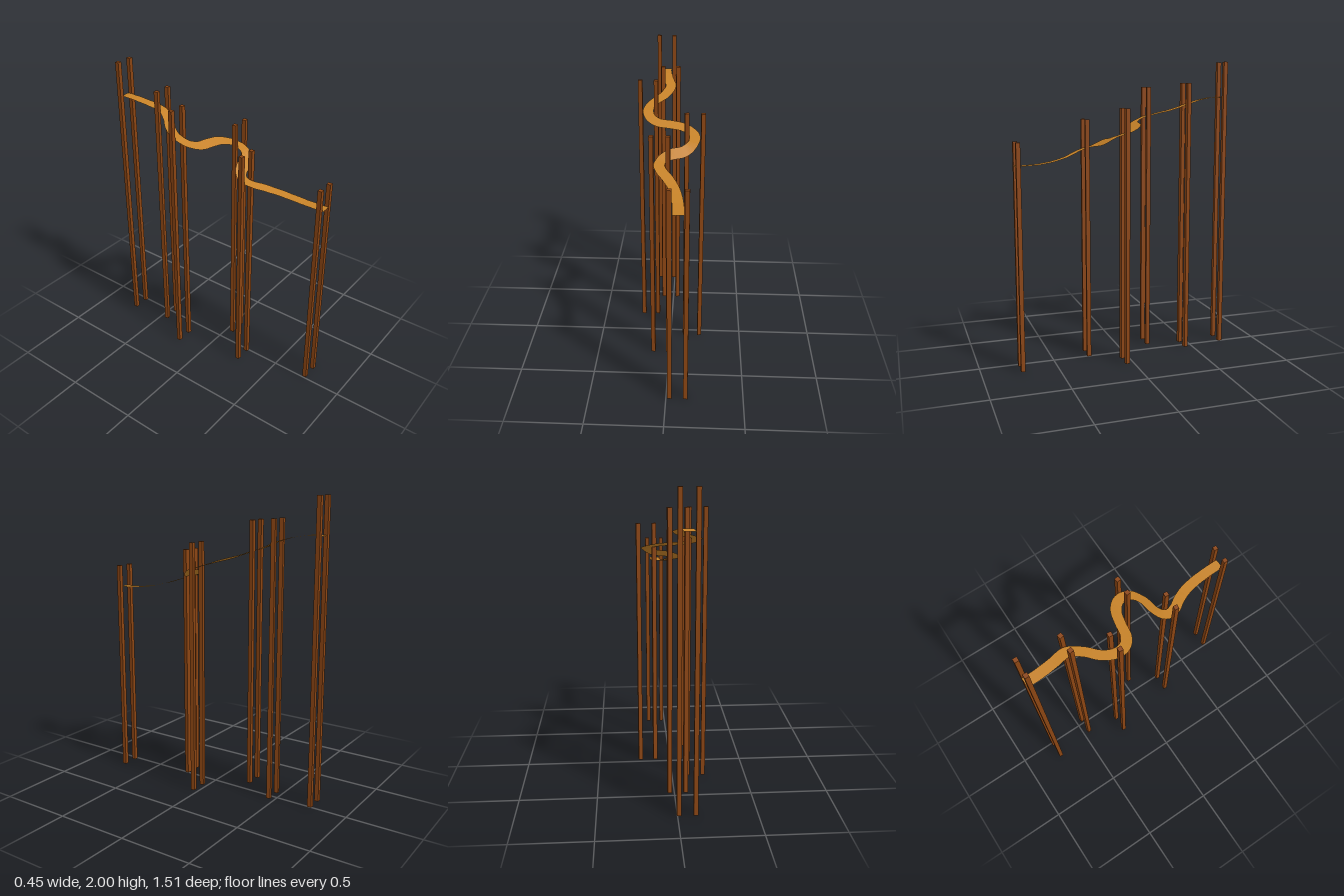
import * as THREE from 'three';

const POST = 0.028;   // post thickness
const HALF = 0.035;   // half the deck width

// [centre x, z, post height, yaw]
const supports = [
  [-0.062, -0.74, 2.0, 0], [-0.022, -0.453, 1.855, 0.15], [-0.16, -0.215, 1.83, -0.05],
  [0.155, 0.043, 1.695, 0.12], [-0.06, 0.25, 1.62, -0.08], [0.074, 0.733, 1.49, 0],
];

// Plan of the deck centre line: [x, z]
const plan = [
  [-0.064, -0.755], [-0.06, -0.66], [-0.044, -0.56], [-0.022, -0.46], [-0.062, -0.372],
  [-0.126, -0.298], [-0.16, -0.215], [-0.144, -0.14], [-0.09, -0.094], [0, -0.076],
  [0.085, -0.052], [0.14, -0.005], [0.155, 0.045], [0.138, 0.105], [0.085, 0.15],
  [0.005, 0.17], [-0.047, 0.203], [-0.063, 0.25], [-0.046, 0.305], [-0.008, 0.36],
  [0.032, 0.44], [0.058, 0.54], [0.07, 0.64], [0.074, 0.75],
];

// Climb of the deck along its length: [z, y]
const climb = [
  [-0.8, 1.753], [-0.72, 1.76], [-0.65, 1.757], [-0.55, 1.74], [-0.45, 1.71], [-0.35, 1.67],
  [-0.25, 1.64], [-0.2, 1.628], [-0.1, 1.587], [-0.05, 1.563], [0, 1.545], [0.05, 1.53],
  [0.1, 1.513], [0.13, 1.495], [0.165, 1.467], [0.2, 1.445], [0.25, 1.428], [0.3, 1.415],
  [0.4, 1.38], [0.5, 1.357], [0.6, 1.343], [0.7, 1.339], [0.8, 1.338],
];

function heightAt(z) {
  let i = 0;
  while (i < climb.length - 2 && climb[i + 1][0] < z) i++;
  const [z0, y0] = climb[i], [z1, y1] = climb[i + 1];
  return y0 + (y1 - y0) * (z - z0) / (z1 - z0);
}

// Thin banked ribbon swept along the winding plan
function deckGeometry(segments) {
  const curve = new THREE.CatmullRomCurve3(plan.map(([x, z]) => new THREE.Vector3(x, 0, z)));
  const positions = [], index = [];
  for (let i = 0; i <= segments; i++) {
    const p = curve.getPointAt(i / segments);
    const t = curve.getTangentAt(i / segments);
    for (const side of [-1, 1]) {
      const x = p.x + side * HALF * t.z;
      const z = p.z - side * HALF * t.x;
      positions.push(x, heightAt(z), z);
    }
    if (i < segments) {
      const a = i * 2;
      index.push(a, a + 2, a + 1, a + 1, a + 2, a + 3);
    }
  }
  const g = new THREE.BufferGeometry();
  g.setAttribute('position', new THREE.Float32BufferAttribute(positions, 3));
  g.setIndex(index);
  g.computeVertexNormals();
  return g;
}

export function createModel() {
  const model = new THREE.Group();
  model.name = 'windingBridge';

  const postMaterial = new THREE.MeshStandardMaterial({ color: 0x8b4513 });
  const deckMaterial = new THREE.MeshStandardMaterial({
    color: 0xc68228, side: THREE.DoubleSide, flatShading: true,
  });

  // Pairs of tall square posts either side of the deck
  supports.forEach(([x, z, h, yaw], i) => {
    const pair = new THREE.Group();
    pair.name = `postPair${i + 1}`;
    for (const side of [-1, 1]) {
      const post = new THREE.Mesh(new THREE.BoxGeometry(POST, h, POST), postMaterial);
      post.name = side < 0 ? 'rightPost' : 'leftPost';
      post.position.set(x + side * 0.052, h / 2, z);
      post.rotation.y = yaw;
      pair.add(post);
    }
    model.add(pair);
  });

  // Walkway
  const deck = new THREE.Mesh(deckGeometry(240), deckMaterial);
  deck.name = 'deck';
  model.add(deck);

  return model;
}
